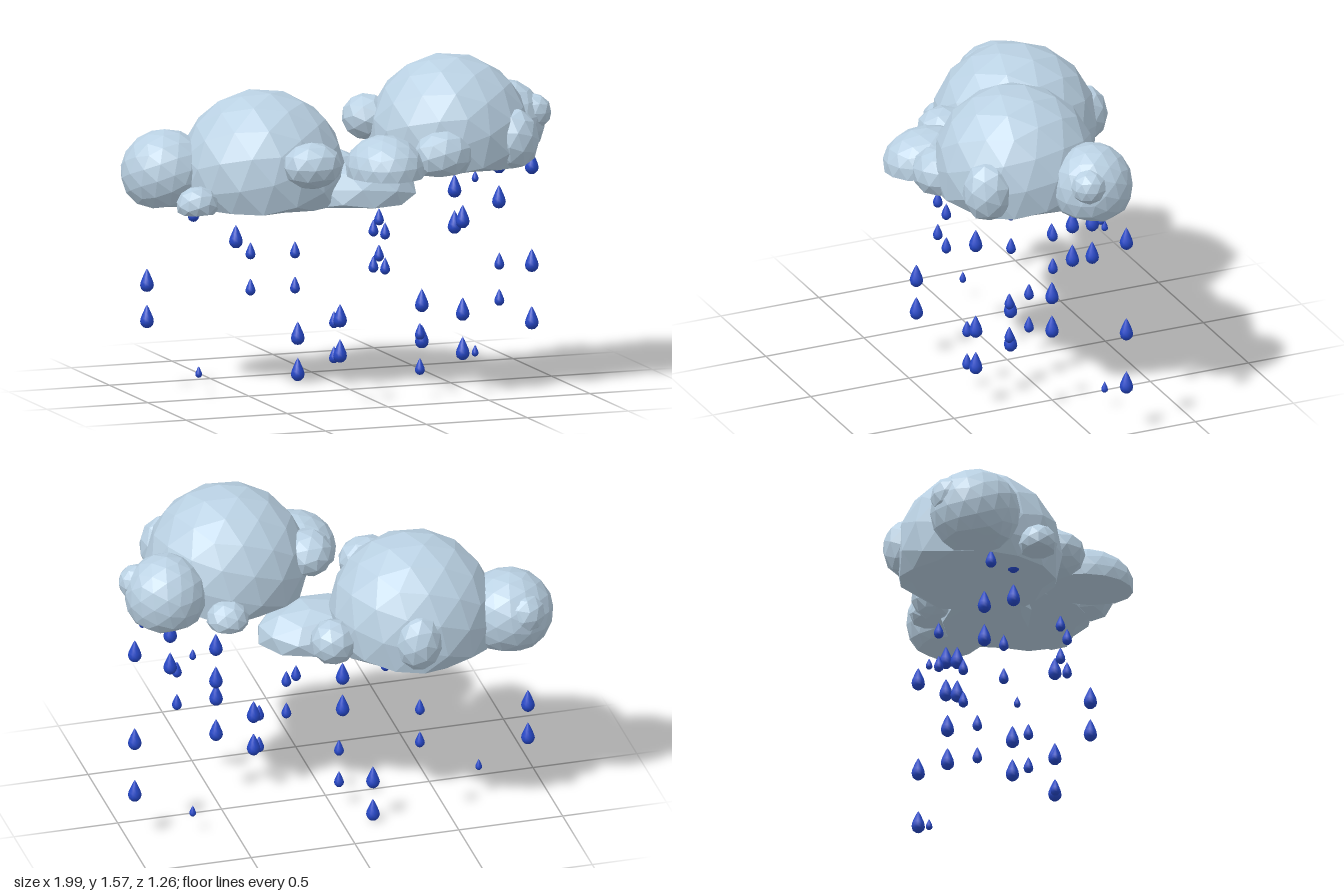
import * as THREE from 'three';
import { mergeVertices } from 'three/addons/utils/BufferGeometryUtils.js';

const cloudMat = new THREE.MeshStandardMaterial({ color: 0xb9d0e2, flatShading: true });
const rainMat = new THREE.MeshStandardMaterial({ color: 0x2648c8 });

// Faceted puff: an icosphere scaled to an ellipsoid and pressed flat on the cloud's base
function puff(name, base, [x, y, z, rx, ry = rx, rz = rx], detail, turn) {
  const geo = new THREE.IcosahedronGeometry(1, detail);
  geo.rotateX(turn * 0.7).rotateY(turn * 1.9).scale(rx, ry, rz).translate(x, y, z);
  const pos = geo.attributes.position;
  for (let i = 0; i < pos.count; i++) pos.setY(i, Math.max(base, pos.getY(i)));
  geo.computeVertexNormals();
  const mesh = new THREE.Mesh(geo, cloudMat);
  mesh.name = name;
  return mesh;
}

function cloud(name, base, puffs) {
  const group = new THREE.Group();
  group.name = name;
  puffs.forEach(([label, spec, detail], i) => group.add(puff(label, base, spec, detail, i + 1)));
  return group;
}

// Teardrop of unit height, centred on its middle
function dropGeometry() {
  const profile = [[0, -0.5], [0.14, -0.47], [0.25, -0.36], [0.29, -0.22], [0.26, -0.06],
    [0.17, 0.16], [0.08, 0.36], [0, 0.5]].map(p => new THREE.Vector2(...p));
  return mergeVertices(new THREE.LatheGeometry(profile, 10));
}

export function createModel() {
  const model = new THREE.Group();
  model.name = 'rainClouds';

  // Lower cloud: x, y, z, radii
  model.add(cloud('lowerCloud', 0.87, [
    ['mainPuff', [-0.36, 1.01, -0.2, 0.39], 2],
    ['sidePuff', [-0.79, 1.02, -0.32, 0.21, 0.2, 0.21], 2],
    ['sideBump', [-0.83, 1.06, -0.44, 0.1], 1],
    ['frontSidePuff', [-0.75, 0.91, -0.01, 0.1, 0.09, 0.09], 1],
    ['backPuff', [-0.3, 1.03, -0.53, 0.11, 0.14, 0.11], 1],
    ['frontPuff', [-0.26, 1.1, 0.2, 0.14, 0.11, 0.13], 1],
    ['innerPuff', [0.05, 0.97, -0.31, 0.11, 0.11, 0.11], 1],
    ['tailPuff', [0.06, 0.91, -0.06, 0.29, 0.15, 0.21], 1],
  ]));

  // Upper cloud
  model.add(cloud('upperCloud', 1.07, [
    ['mainPuff', [0.43, 1.2, 0.16, 0.38], 2],
    ['sidePuff', [0.79, 1.2, -0.07, 0.19, 0.2, 0.19], 2],
    ['sideBump', [0.91, 1.25, 0.0, 0.085], 1],
    ['backPuff', [0.53, 1.11, -0.21, 0.1, 0.09, 0.1], 1],
    ['innerPuff', [0.08, 1.28, 0.01, 0.115, 0.11, 0.13], 1],
    ['frontPuff', [0.02, 1.1, 0.41, 0.18, 0.16, 0.22], 2],
    ['middlePuff', [0.28, 1.16, 0.48, 0.14, 0.12, 0.12], 1],
    ['frontSidePuff', [0.66, 1.2, 0.4, 0.12, 0.15, 0.12], 1],
  ]));

  // Rain in columns: x, z, drop height, then the height of every drop in the column
  const L = 0.11, M = 0.08, S = 0.055;
  const columns = [
    [-0.89, -0.3, L, 0.52, 0.35], [-0.71, -0.1, S, 0.11], [-0.69, -0.22, 0.09, 0.84],
    [-0.535, -0.075, L, 0.91, 0.74], [-0.345, 0.195, M, 0.71, 0.545],
    [-0.345, -0.385, M, 0.61, 0.44], [-0.19, 0.375, L, 0.42, 0.255],
    [-0.145, -0.295, L, 0.225, 0.055], [-0.03, -0.125, M, 0.31, 0.145],
    [0, 0.31, M, 0.81, 0.64], [0.13, 0.04, M, 0.81, 0.64], [0.225, -0.13, M, 0.71, 0.545],
    [0.23, 0.31, M, 0.31, 0.145], [0.31, 0.125, L, 0.42, 0.25],
    [0.425, 0.355, L, 0.845, 0.41, 0.225], [0.55, -0.08, L, 0.91, 0.74],
    [0.635, 0.28, M, 0.61, 0.44], [0.69, -0.18, S, 0.93, 0.11],
    [0.77, -0.08, L, 1.01, 0.845], [0.9, -0.065, S, 1.07], [0.965, -0.165, L, 0.98, 0.52, 0.25],
  ];
  const rain = new THREE.Group();
  rain.name = 'rain';
  const geo = dropGeometry();
  for (const [x, z, size, ...heights] of columns) {
    for (const y of heights) {
      const drop = new THREE.Mesh(geo, rainMat);
      drop.name = 'raindrop';
      drop.position.set(x, y, z);
      drop.scale.setScalar(size);
      rain.add(drop);
    }
  }
  model.add(rain);
  return model;
}
